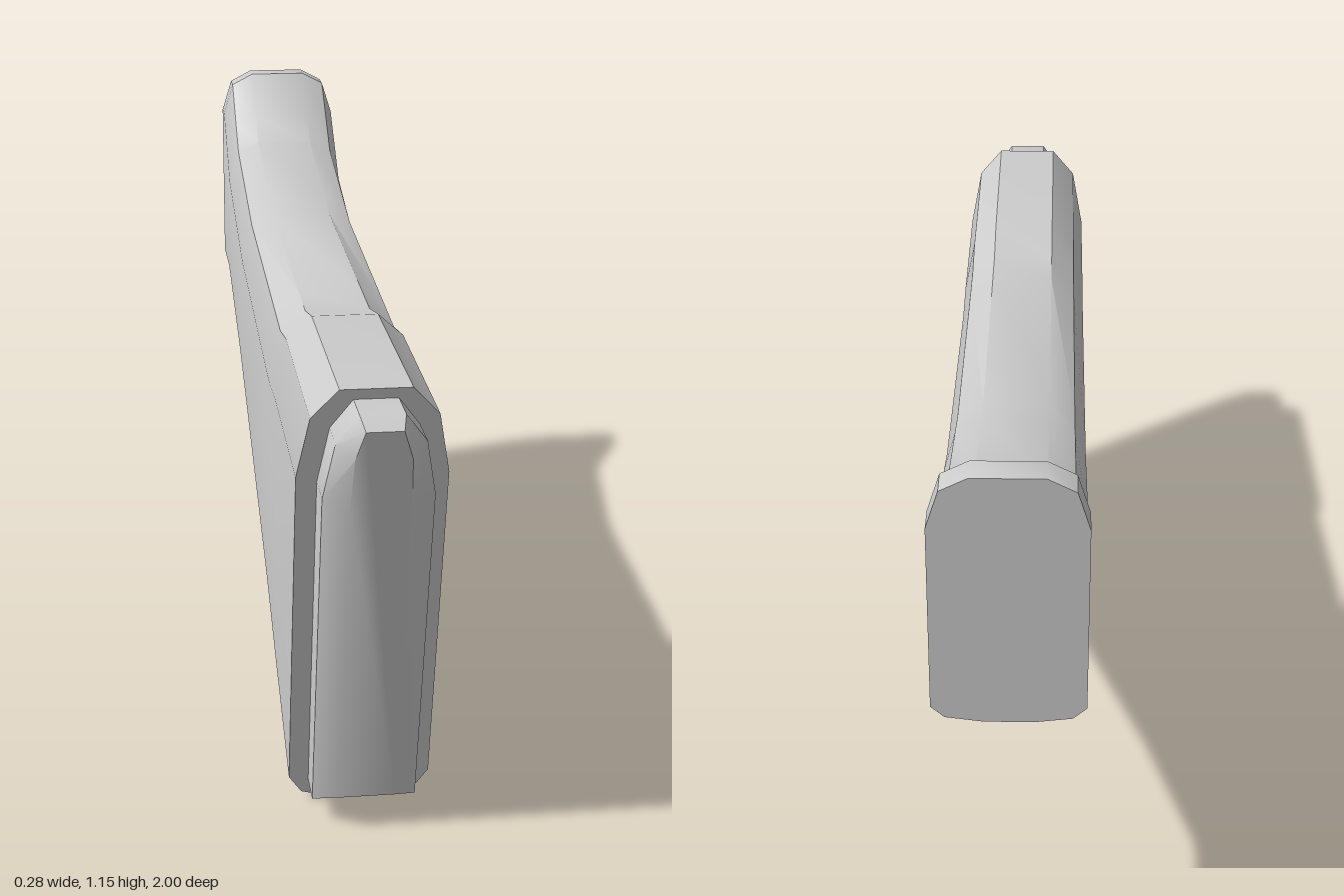
import * as THREE from 'three';
import { toCreasedNormals } from 'three/addons/utils/BufferGeometryUtils.js';

// Mirror a right-hand half outline (bottom to top) into a closed ring of points
function ring(half, zAt) {
  const mirrored = half.map(([x, y]) => [-x, y]).reverse();
  return [...half, ...mirrored].map(([x, y]) => [x, y, zAt(y)]);
}

// Skin a list of rings, ordered front to back, and cap both ends
function loft(name, rings, crease) {
  const n = rings[0].length, last = (rings.length - 1) * n, index = [];
  for (let i = 0; i < rings.length - 1; i++) {
    for (let j = 0; j < n; j++) {
      const k = (j + 1) % n;
      const a = i * n + j, b = i * n + k, c = b + n, d = a + n;
      index.push(a, d, c, a, c, b);
    }
  }
  for (let j = 1; j < n - 1; j++) {
    index.push(0, j, j + 1, last, last + j + 1, last + j);
  }
  const geometry = new THREE.BufferGeometry();
  geometry.setAttribute('position', new THREE.Float32BufferAttribute(rings.flat(2), 3));
  geometry.setIndex(index);
  const mesh = new THREE.Mesh(
    toCreasedNormals(geometry, crease),
    new THREE.MeshStandardMaterial({ color: 0xcccccc })
  );
  mesh.name = name;
  return mesh;
}

// Straight-line interpolation in rows of [z, ...values], z descending
function sample(rows, z) {
  let i = 0;
  while (i < rows.length - 2 && z < rows[i + 1][0]) i++;
  const [p, q] = [rows[i], rows[i + 1]];
  const t = (z - p[0]) / (q[0] - p[0]);
  return p.slice(1).map((v, k) => v + (q[k + 1] - v) * t);
}

// Upper edges: z, top flat, shoulder, full width
const TOP = [
  [0.89, 0.925, 0.87, 0.75],
  [0.45, 0.925, 0.88, 0.76],
  [0.33, 0.9, 0.86, 0.75],
  [-0.37, 0.925, 0.9, 0.81],
  [-0.77, 1.01, 0.987, 0.91],
  [-0.945, 1.15, 1.124, 1.05],
  [-1, 1.15, 1.124, 1.05],
];
// Lower edges: z, bottom flat, chamfer, full width
const BOTTOM = [
  [0.68, 0, 0.02, 0.058],
  [0.22, 0.225, 0.243, 0.28],
  [-0.48, 0.51, 0.526, 0.56],
  [-0.84, 0.643, 0.652, 0.675],
  [-1, 0.643, 0.652, 0.675],
];

function halfOutline([b0, b1, b2], [t0, t1, t2]) {
  return [[0.045, b0], [0.113, b1], [0.138, b2], [0.138, t2], [0.115, t1], [0.065, t0]];
}

// Stock body: slanted front face, then upright sections to the back
function body() {
  const slant = y => 0.685 + 0.222 * y;
  const rings = [ring(halfOutline(BOTTOM[0].slice(1), TOP[0].slice(1)), slant)];
  for (const z of [0.45, 0.33, 0.22, -0.37, -0.48, -0.77, -0.84, -0.945, -1]) {
    rings.push(ring(halfOutline(sample(BOTTOM, z), sample(TOP, z)), () => z));
  }
  return loft('stockBody', rings, 0.5);
}

// End pad: slanted slab with a tapered outer face
function pad() {
  const outer = [[0.1, 0.05], [0.1, 0.74], [0.08, 0.85], [0.04, 0.905]];
  const inner = [[0.055, 0.073], [0.055, 0.73], [0.05, 0.83], [0.033, 0.885]];
  return loft('endPad', [
    ring(inner, y => 0.793 + 0.234 * y),
    ring(outer, y => 0.758 + 0.234 * y),
    ring(outer, y => 0.675 + 0.222 * y),
  ], 0.72);
}

export function createModel() {
  const group = new THREE.Group();
  group.name = 'stock';
  group.add(body(), pad());
  return group;
}
